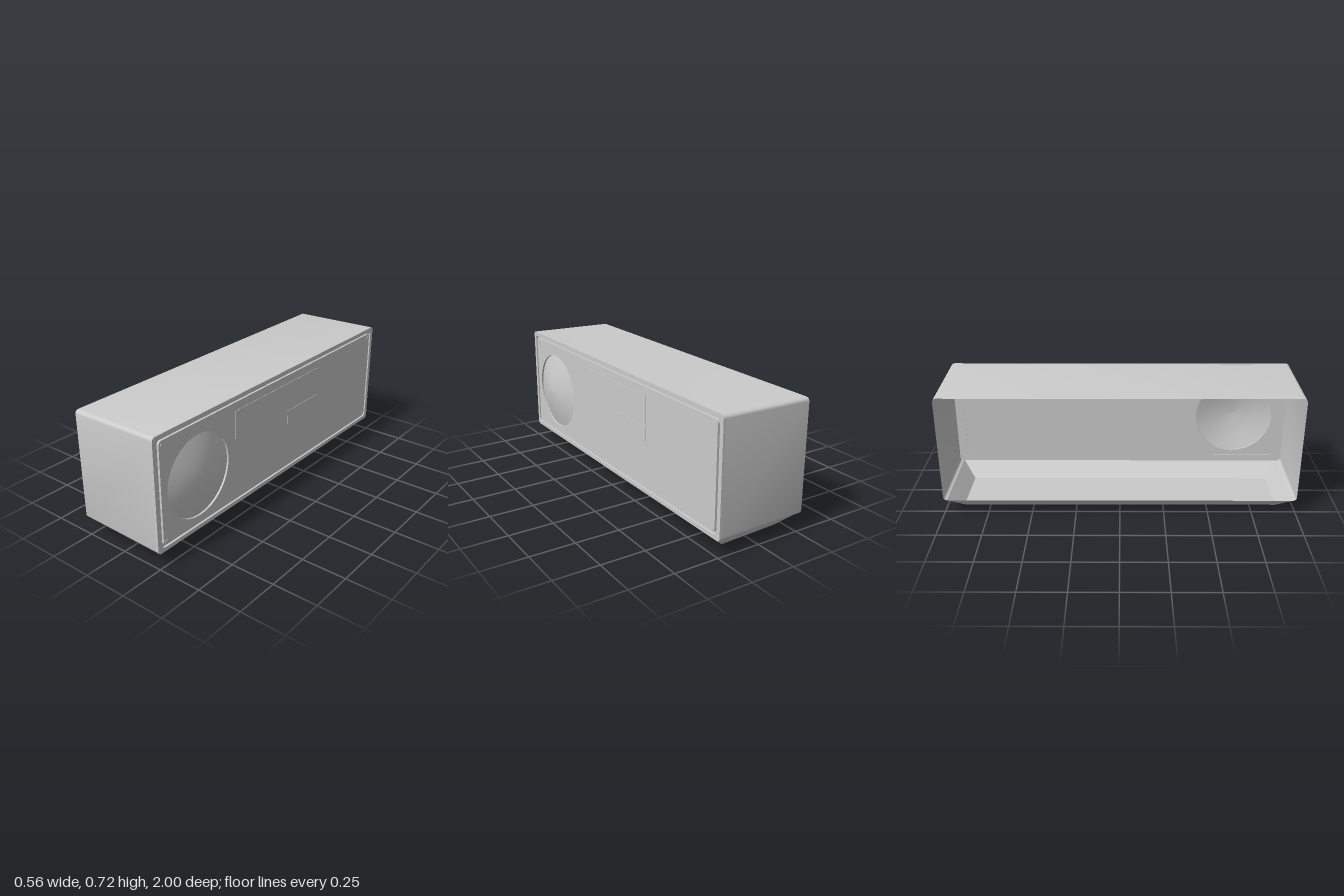
import * as THREE from 'three';
import { toCreasedNormals } from 'three/addons/utils/BufferGeometryUtils.js';

const FRONT = 0.245, BACK = -0.28;
const mat = new THREE.MeshStandardMaterial({ color: 0xcccccc, side: THREE.DoubleSide });

function add(group, name, geometry) {
  const mesh = new THREE.Mesh(geometry, mat);
  mesh.name = name;
  group.add(mesh);
  return mesh;
}

// Sheet of quads between two rows of points
function loft(p, q, closed = false) {
  const pos = [];
  const n = closed ? p.length : p.length - 1;
  for (let i = 0; i < n; i++) {
    const j = (i + 1) % p.length;
    pos.push(...p[i], ...q[i], ...q[j], ...p[i], ...q[j], ...p[j]);
  }
  const g = new THREE.BufferGeometry();
  g.setAttribute('position', new THREE.Float32BufferAttribute(pos, 3));
  return toCreasedNormals(g, 0.6);
}

// Section of the cabinet wall, open along the bottom
function wallSection(x, half, y0, y1, r) {
  const pts = [];
  const corners = [[half - r, y0 + r, -90], [half - r, y1 - r, 0], [r - half, y1 - r, 90], [r - half, y0 + r, 180]];
  for (const [z, y, start] of corners) {
    for (let k = 0; k <= 5; k++) {
      const a = THREE.MathUtils.degToRad(start + k * 18);
      pts.push([x, y + r * Math.sin(a), z + r * Math.cos(a)]);
    }
  }
  return pts;
}

// Rounded rectangle in the plane of the front face
function roundRect(half, y0, y1, r, Type = THREE.Shape) {
  const s = new Type();
  s.absarc(half - r, y0 + r, r, -Math.PI / 2, 0);
  s.absarc(half - r, y1 - r, r, 0, Math.PI / 2);
  s.absarc(r - half, y1 - r, r, Math.PI / 2, Math.PI);
  s.absarc(r - half, y0 + r, r, Math.PI, Math.PI * 1.5);
  s.closePath();
  return s;
}

// Extrude a front-plane shape from x0 to x1
function plate(shape, x0, x1) {
  const g = new THREE.ExtrudeGeometry(shape, { depth: x1 - x0, bevelEnabled: false, curveSegments: 16 });
  return g.rotateY(Math.PI / 2).translate(x0, 0, 0);
}

function frame(outer, hole) {
  const s = roundRect(...outer);
  s.holes.push(roundRect(...hole, THREE.Path));
  return s;
}

export function createModel() {
  const model = new THREE.Group();
  model.name = 'tableRadio';

  // Cabinet walls, tapering slightly towards the open back
  add(model, 'cabinetWalls', loft(
    wallSection(BACK, 0.997, 0.09, 0.71, 0.02),
    wallSection(FRONT, 1, 0.082, 0.72, 0.02)));

  // Sloped base skirt and floor
  const top = [[FRONT, 0.082, 0.98], [FRONT, 0.082, -0.98], [BACK, 0.09, -0.977], [BACK, 0.09, 0.977]];
  const low = [[0.15, 0, 0.9], [0.15, 0, -0.9], [-0.19, 0.011, -0.9], [-0.19, 0.011, 0.9]];
  add(model, 'baseSkirt', loft(top, low, true));
  add(model, 'baseFloor', loft([low[0], low[1]], [low[3], low[2]]));

  // Front rim, groove behind it, and the panel inside the groove
  add(model, 'frontRim', plate(frame([1, 0.082, 0.72, 0.02], [0.975, 0.105, 0.697, 0.025]), 0.233, FRONT));
  add(model, 'panelGroove', plate(frame([0.985, 0.097, 0.705, 0.03], [0.945, 0.13, 0.672, 0.015]), 0.223, 0.233));
  const panel = roundRect(0.96, 0.116, 0.686, 0.02);
  const speakerZ = 0.69, speakerY = 0.39, speakerR = 0.23;
  const hole = new THREE.Path();
  hole.absarc(-speakerZ, speakerY, speakerR, 0, Math.PI * 2, true);
  panel.holes.push(hole);
  add(model, 'frontPanel', plate(panel, 0.225, FRONT));

  // Domed speaker cover sunk into the panel
  const profile = [[speakerR, 0.234], [0.19, 0.246], [0.145, 0.258], [0.1, 0.268], [0.05, 0.276], [0, 0.28]];
  const dome = new THREE.LatheGeometry(profile.map(([r, x]) => new THREE.Vector2(r, x)), 64);
  add(model, 'speakerDome', dome.rotateZ(-Math.PI / 2).translate(0, speakerY, speakerZ));

  // Raised display and label plates
  const slab = (name, y0, y1, z0, z1) => {
    const g = new THREE.BoxGeometry(0.006, y1 - y0, z1 - z0);
    add(model, name, g).position.set(0.2445, (y0 + y1) / 2, (z0 + z1) / 2);
  };
  slab('displayPlate', 0.48, 0.638, -0.355, 0.405);
  slab('smallPlate', 0.385, 0.468, -0.355, -0.065);

  // Corner screws
  for (const y of [0.135, 0.661]) {
    for (const z of [-0.94, 0.94]) {
      const g = new THREE.CylinderGeometry(0.01, 0.01, 0.006, 16).rotateZ(-Math.PI / 2);
      add(model, 'cornerScrew', g).position.set(0.2445, y, z);
    }
  }
  return model;
}
